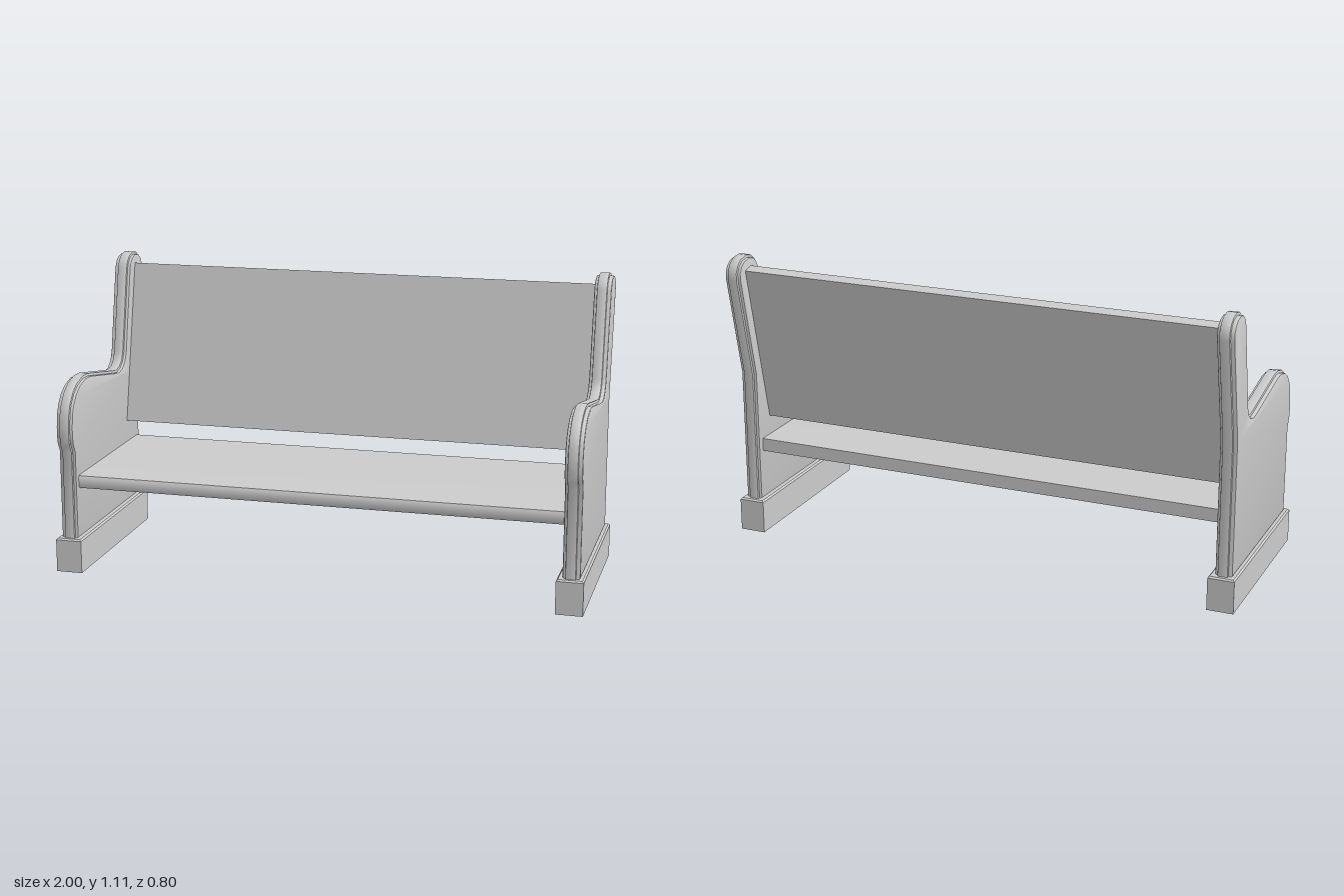
import * as THREE from 'three';
import { toCreasedNormals } from 'three/addons/utils/BufferGeometryUtils.js';

const material = new THREE.MeshStandardMaterial({ color: 0xcccccc });
const openMaterial = new THREE.MeshStandardMaterial({ color: 0xcccccc, side: THREE.DoubleSide });

// Side outline of a bench end as [z, y]
const endOutline = [
  [0.378, 0.12], [0.378, 0.465], [0.394, 0.495], [0.4, 0.525], [0.4, 0.565],
  [0.392, 0.615], [0.377, 0.652], [0.345, 0.69], [0.305, 0.715], [0.245, 0.731],
  [0.195, 0.73], [-0.07, 0.682], [-0.105, 0.677], [-0.14, 0.685], [-0.165, 0.704],
  [-0.18, 0.735], [-0.247, 1.06], [-0.26, 1.085], [-0.285, 1.105], [-0.32, 1.113],
  [-0.36, 1.106], [-0.385, 1.088], [-0.4, 1.06], [-0.4, 1.03], [-0.315, 0.64], [-0.315, 0.12],
];

const seatProfile = [
  [0.34, 0.32], [0.346, 0.328], [0.346, 0.362], [0.342, 0.368], [0.334, 0.37],
  [-0.28, 0.37], [-0.28, 0.32],
];

const backProfile = [[-0.175, 0.455], [-0.31, 1.07], [-0.354, 1.06], [-0.219, 0.445]];

// Extrudes a [z, y] profile along x, centred on x = 0
function extrudeX(profile, width, bevel = 0, inset = 0) {
  const shape = new THREE.Shape(profile.map(([z, y]) => new THREE.Vector2(-z, y)));
  const depth = width - 2 * bevel;
  const geometry = new THREE.ExtrudeGeometry(shape, {
    depth, bevelEnabled: bevel > 0, bevelThickness: bevel, bevelSize: bevel,
    bevelOffset: -bevel - inset, bevelSegments: 2,
  });
  geometry.rotateY(Math.PI / 2).translate(-depth / 2, 0, 0);
  return toCreasedNormals(geometry, 0.7);
}

// Box with a chamfered top edge and an open underside
function footGeometry(width, height, depth, chamfer) {
  const box = new THREE.BoxGeometry(width, height, depth, 1, 2, 1);
  const p = box.attributes.position;
  for (let i = 0; i < p.count; i++) {
    const y = p.getY(i);
    if (y > 0.01) {
      p.setX(i, p.getX(i) - Math.sign(p.getX(i)) * chamfer);
      p.setZ(i, p.getZ(i) - Math.sign(p.getZ(i)) * chamfer);
    } else if (y > -0.01) p.setY(i, height / 2 - chamfer);
  }
  const bottom = box.groups[3];
  box.setIndex([...box.index.array].filter((_, i) => i < bottom.start || i >= bottom.start + bottom.count));
  const geometry = box.toNonIndexed();
  geometry.clearGroups();
  geometry.computeVertexNormals();
  return geometry.translate(0, height / 2, 0);
}

export function createModel() {
  const bench = new THREE.Group();
  bench.name = 'bench';

  function add(parent, name, geometry, x = 0, z = 0, mat = material) {
    const mesh = new THREE.Mesh(geometry, mat);
    mesh.name = name;
    mesh.position.set(x, 0, z);
    parent.add(mesh);
  }

  // Seat and leaning backrest run between the two ends
  add(bench, 'seat', extrudeX(seatProfile, 1.86));
  add(bench, 'backrest', extrudeX(backProfile, 1.86));

  // Ends: a panel, a raised rim along its edge, and a foot
  const panel = extrudeX(endOutline, 0.065, 0.006, 0.01);
  const rim = extrudeX(endOutline, 0.038, 0.004);
  const foot = footGeometry(0.1, 0.13, 0.725, 0.006);
  for (const side of [1, -1]) {
    const end = new THREE.Group();
    end.name = side > 0 ? 'leftEnd' : 'rightEnd';
    add(end, 'endPanel', panel, side * 0.952);
    add(end, 'endRim', rim, side * 0.95);
    add(end, 'foot', foot, side * 0.95, 0.03, openMaterial);
    bench.add(end);
  }
  return bench;
}
